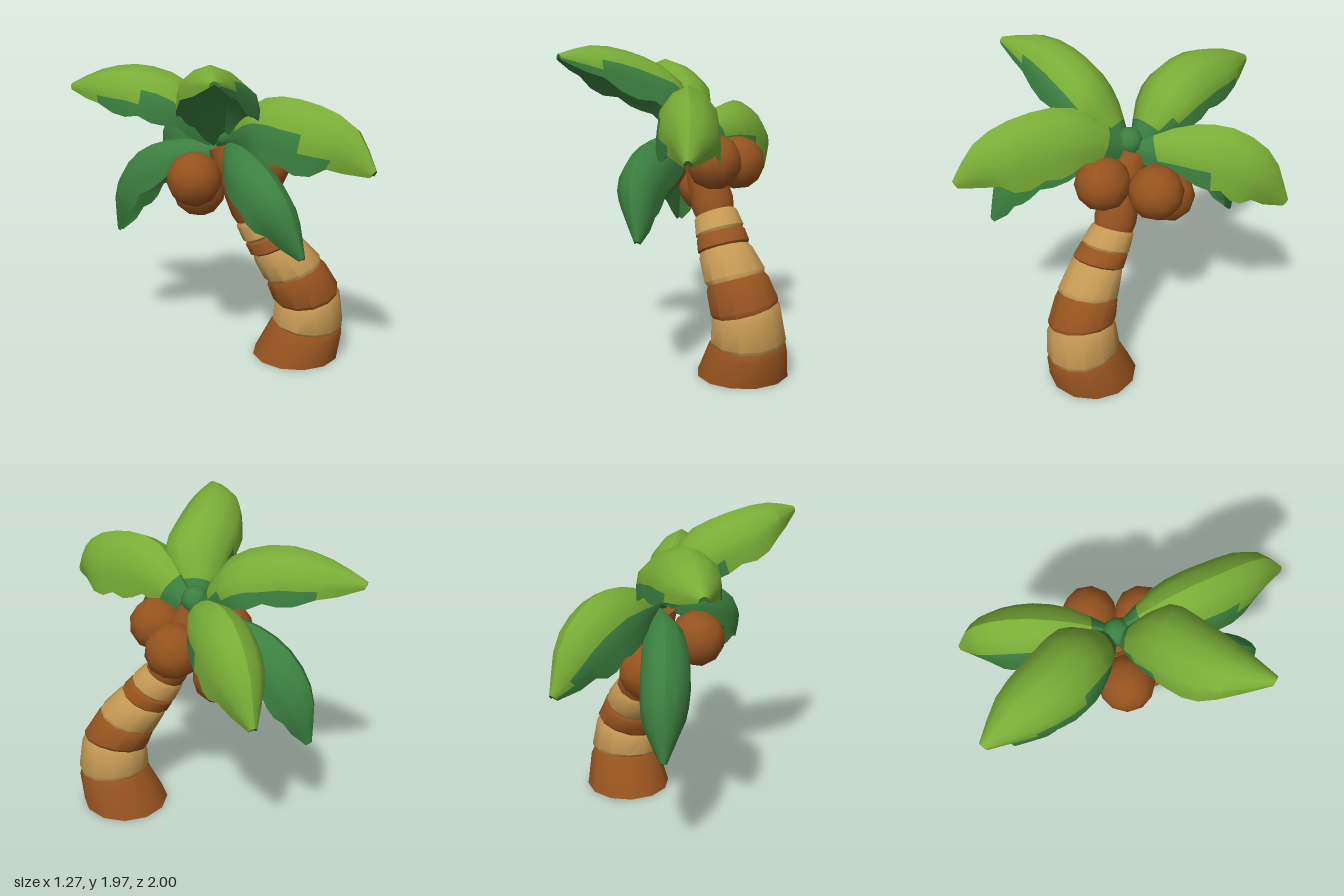
import * as THREE from 'three';
import { toCreasedNormals } from 'three/addons/utils/BufferGeometryUtils.js';

const V = (a) => new THREE.Vector3(...a);
const mat = (name, color) => {
  const m = new THREE.MeshStandardMaterial({ color });
  m.name = name;
  return m;
};

// Skins closed rings of points; slot(row, column) picks material 0 or 1 for each quad
function loft(rings, slot = () => 0, crease = 0.7) {
  const n = rings[0].length;
  const pos = [];
  rings.forEach((r) => r.forEach((p) => pos.push(p.x, p.y, p.z)));
  const faces = [[], []];
  for (let i = 0; i < rings.length - 1; i++) {
    for (let j = 0; j < n; j++) {
      const a = i * n + j, b = i * n + ((j + 1) % n);
      faces[slot(i, j)].push(a, b, b + n, a, b + n, a + n);
    }
  }
  // End caps
  [0, rings.length - 1].forEach((i) => {
    const c = rings[i].reduce((s, p) => s.add(p), new THREE.Vector3()).divideScalar(n);
    const k = pos.length / 3;
    pos.push(c.x, c.y, c.z);
    for (let j = 0; j < n; j++) {
      const a = i * n + j, b = i * n + ((j + 1) % n);
      faces[0].push(k, ...(i ? [a, b] : [b, a]));
    }
  });
  const g = new THREE.BufferGeometry();
  g.setAttribute('position', new THREE.Float32BufferAttribute(pos, 3));
  g.setIndex([...faces[0], ...faces[1]]);
  g.addGroup(0, faces[0].length, 0);
  if (faces[1].length) g.addGroup(faces[0].length, faces[1].length, 1);
  return toCreasedNormals(g, crease);
}

// Tilted circle used by the trunk
function circle(center, normal, radius, sides = 12) {
  const n = normal.clone().normalize();
  const u = new THREE.Vector3(1, 0, 0).addScaledVector(n, -n.x).normalize();
  const v = n.clone().cross(u);
  return Array.from({ length: sides }, (_, j) => {
    const a = (j / sides) * Math.PI * 2;
    return center.clone().addScaledVector(u, radius * Math.cos(a)).addScaledVector(v, radius * Math.sin(a));
  });
}

// Linear lookup in an evenly spaced profile
function sample(profile, t) {
  const f = t * (profile.length - 1), i = Math.min(Math.floor(f), profile.length - 2);
  return THREE.MathUtils.lerp(profile[i], profile[i + 1], f - i);
}

const WIDTH = [0.28, 0.8, 1, 1, 0.92, 0.66, 0.13];
const DROOP = [0.3, 0.62, 0.88, 1, 0.92, 0.65, 0.12];

// Arched leaf with a soft ridge, steep sides and a hollow underside.
// darkRows: how many rows stay dark on each side strip, in the order
// [left lower, left upper, right upper, right lower]; null for an all dark leaf
function leafGeometry(points, width, droop, darkRows) {
  const curve = new THREE.CatmullRomCurve3(points.map(V));
  const rows = 10, rings = [];
  const whole = curve.getPointAt(1).sub(curve.getPointAt(0));
  const side = whole.cross(new THREE.Vector3(0, 1, 0)).normalize();
  for (let i = 0; i <= rows; i++) {
    const t = i / rows;
    const p = curve.getPointAt(t), tan = curve.getTangentAt(t);
    const down = tan.clone().cross(side).normalize().multiplyScalar(0.6);
    down.y -= 0.4;
    down.normalize();
    const w = width * sample(WIDTH, t), d = droop * sample(DROOP, t);
    const edge = i % 3 === 2 ? 0.88 : 1;
    const at = (x, y) => p.clone().addScaledVector(side, x * w).addScaledVector(down, y * d);
    rings.push([
      at(1, edge), at(0.6, 0.72), at(0, 0.42), at(-0.6, 0.72), at(-1, edge), at(-0.97, 0.66),
      at(-0.88, 0.38), at(-0.48, 0.12), at(0, 0), at(0.48, 0.12), at(0.88, 0.38), at(0.97, 0.66),
    ]);
  }
  const slot = (i, j) => {
    if (!darkRows || j < 4) return 0;
    const start = { 4: darkRows[0], 5: darkRows[1], 10: darkRows[2], 11: darkRows[3] }[j] ?? 1;
    return i >= start ? 1 : 0;
  };
  return loft(rings, slot, 0.8);
}

export function createModel() {
  const model = new THREE.Group();
  const brown = mat('bark brown', 0x96531f);
  const tan = mat('bark tan', 0xc49853);
  const light = mat('leaf light green', 0x78ac36);
  const dark = mat('leaf dark green', 0x3c8040);
  const add = (name, geometry, material) => {
    const mesh = new THREE.Mesh(geometry, material);
    mesh.name = name;
    model.add(mesh);
    return mesh;
  };

  // Trunk: stacked bands; each joint has centre, plane normal, radius
  const joints = [
    [[0.35, 0, 0.23], [0, 1, 0], 0.28],
    [[0.4, 0.225, 0.292], [0, 1, 0.12], 0.222],
    [[0.38, 0.425, 0.298], [-0.27, 1, 0.03], 0.205],
    [[0.31, 0.59, 0.25], [-0.33, 1, -0.2], 0.185],
    [[0.215, 0.755, 0.172], [-0.34, 1, -0.31], 0.155],
    [[0.18, 0.838, 0.125], [-0.37, 1, -0.32], 0.146],
    [[0.13, 0.95, 0.065], [-0.4, 1, -0.31], 0.128],
    [[-0.02, 1.4, -0.06], [-0.3, 1, -0.3], 0.1],
  ];
  for (let i = 0; i < joints.length - 1; i++) {
    const [c0, n0, r0] = joints[i], [c1, n1, r1] = joints[i + 1];
    const ring = (t, r) => circle(V(c0).lerp(V(c1), t), V(n0).lerp(V(n1), t), r);
    const lip = i ? 0.01 : 0;
    add('trunkBand' + (i + 1), loft([
      ring(0, r0 - lip / 2),
      ring(0.12, THREE.MathUtils.lerp(r0, r1, 0.12) + lip),
      ring(0.85, THREE.MathUtils.lerp(r0, r1, 0.85) + 0.008),
      ring(1, r1 - 0.005),
    ]), i % 2 ? tan : brown);
  }

  // Coconuts
  [[0.14, 1.275, 0.13], [0.215, 1.235, -0.18], [-0.04, 1.055, -0.3], [-0.255, 1.215, -0.04]].forEach((c, i) => {
    const nut = add('coconut' + (i + 1), new THREE.IcosahedronGeometry(0.172, 1), brown);
    nut.position.set(...c);
    nut.rotation.set(0.4 * i, i, 0.3);
  });

  // Crown where the leaves meet
  const crown = add('crown', new THREE.SphereGeometry(0.085, 10, 7), dark);
  crown.position.set(-0.02, 1.46, -0.05);

  // Leaves: ridge path, half width, side drop, dark rows of the side strips
  const leaves = {
    frontLeftLeaf: [[[0, 1.5, -0.02], [0.03, 1.72, 0.27], [0.1, 1.74, 0.55], [0.2, 1.63, 0.85], [0.23, 1.4, 1]], 0.185, 0.4, [1, 1, 6, 8]],
    backLeftLeaf: [[[0, 1.46, -0.08], [0.06, 1.58, -0.36], [0.12, 1.59, -0.63], [0.18, 1.43, -0.88], [0.21, 1.12, -1]], 0.175, 0.38, [10, 9, 1, 4]],
    frontRightLeaf: [[[-0.03, 1.47, -0.04], [-0.13, 1.8, 0.12], [-0.33, 1.93, 0.28], [-0.5, 1.97, 0.46], [-0.615, 1.925, 0.67]], 0.215, 0.29, [10, 8, 2, 4]],
    backRightLeaf: [[[-0.03, 1.47, -0.08], [-0.15, 1.77, -0.24], [-0.33, 1.87, -0.45], [-0.49, 1.83, -0.7], [-0.615, 1.73, -0.88]], 0.215, 0.31, [8, 5, 2, 8]],
    lowFrontLeaf: [[[-0.03, 1.42, 0], [-0.12, 1.45, 0.25], [-0.18, 1.38, 0.56], [-0.18, 1.22, 0.75], [-0.12, 0.92, 0.82]], 0.135, 0.28, null],
    lowBackLeaf: [[[-0.03, 1.4, -0.1], [-0.18, 1.4, -0.36], [-0.3, 1.28, -0.62], [-0.36, 1.05, -0.78], [-0.365, 0.74, -0.8]], 0.145, 0.29, null],
  };
  for (const [name, [path, width, droop, darkRows]] of Object.entries(leaves)) {
    add(name, leafGeometry(path, width, droop, darkRows), darkRows ? [dark, light] : dark);
  }
  return model;
}
